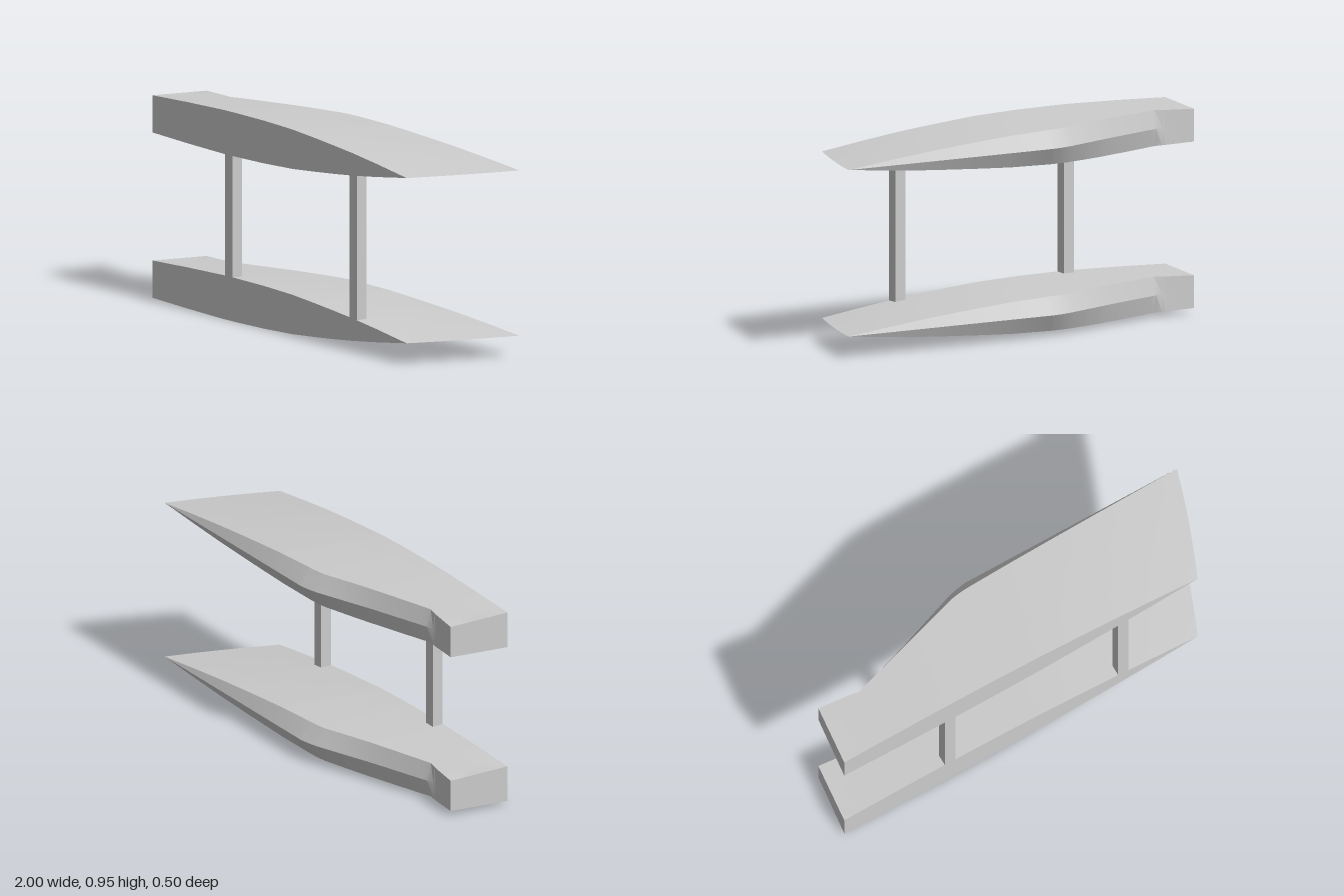
import * as THREE from 'three';
import { toCreasedNormals } from 'three/addons/utils/BufferGeometryUtils.js';

const FRONT = 0.25;

// Piecewise-linear lookup in rows of [t, value]
function lookup(rows, t) {
  let i = 0;
  while (i < rows.length - 2 && t > rows[i + 1][0]) i++;
  const [a, va] = rows[i], [b, vb] = rows[i + 1];
  return va + (vb - va) * (t - a) / (b - a);
}

// Half thickness along the front edge (by x)
const THICK = [[-1, 0.085], [-0.75, 0.094], [-0.5, 0.1], [-0.4, 0.1], [-0.2, 0.0975], [0, 0.09],
  [0.15, 0.078], [0.3, 0.0645], [0.43, 0.0515], [0.6, 0.0305], [0.82, 0]];
// Rear sharp edge and the bevel ridge in front of it: z by fraction of length
const EDGE = [[0, -0.035], [0.075, -0.02], [0.105, -0.03], [0.25, -0.125], [0.392, -0.23],
  [0.415, -0.242], [0.44, -0.25], [1, -0.25]];
const RIDGE = [[0, -0.035], [0.075, -0.02], [0.105, -0.01], [0.25, -0.098], [0.392, -0.188],
  [0.415, -0.196], [0.44, -0.2], [1, -0.25]];

// Point on the hull; side is +1 top, -1 bottom, 0 on the middle plane
function hullPoint(t, z, side) {
  const d = FRONT - z;
  const x0 = -1 + 0.105 * d;
  const x1 = 0.82 + 0.43 * d - 0.14 * d * d;
  const h = lookup(THICK, -1 + 1.82 * t) * (1 - 0.2 * d / 0.45);
  return [x0 + (x1 - x0) * t, side * h, z];
}

// Hull: cross-section rings lofted from the blunt end to the knife edge
function hullGeometry() {
  const stations = new Set([...EDGE, ...THICK.map(([x]) => [(x + 1) / 1.82])].map(r => +r[0].toFixed(4)));
  for (let i = 0; i <= 24; i++) stations.add(+(i / 24).toFixed(4));
  const ts = [...stations].sort((a, b) => a - b);
  const across = 6, pos = [], idx = [];
  for (const t of ts) {
    const ridge = lookup(RIDGE, t);
    const zs = Array.from({ length: across + 1 }, (_, i) => FRONT + (ridge - FRONT) * i / across);
    zs.forEach(z => pos.push(...hullPoint(t, z, 1)));
    pos.push(...hullPoint(t, lookup(EDGE, t), 0));
    zs.reverse().forEach(z => pos.push(...hullPoint(t, z, -1)));
  }
  const n = 2 * across + 3;
  for (let i = 0; i < ts.length - 1; i++) {
    for (let j = 0; j < n; j++) {
      const a = i * n + j, b = i * n + (j + 1) % n;
      idx.push(a, a + n, b, b, a + n, b + n);
    }
  }
  // blunt end cap
  for (let j = 1; j < n - 1; j++) idx.push(0, j, j + 1);
  const g = new THREE.BufferGeometry();
  g.setAttribute('position', new THREE.Float32BufferAttribute(pos, 3));
  g.setIndex(idx);
  return toCreasedNormals(g, 0.3);
}

export function createModel() {
  const group = new THREE.Group();
  const material = new THREE.MeshStandardMaterial({ color: 0xcccccc, side: THREE.DoubleSide });

  // Two identical blades, stacked
  const geometry = hullGeometry();
  [['lowerBlade', 0.102], ['upperBlade', 0.856]].forEach(([name, y]) => {
    const blade = new THREE.Mesh(geometry, material);
    blade.name = name;
    blade.position.y = y;
    group.add(blade);
  });

  // Square posts joining the blades along the front edge
  [['rightPost', -0.455, 0.2], ['leftPost', 0.438, 0.15]].forEach(([name, x, y0]) => {
    const post = new THREE.Mesh(new THREE.BoxGeometry(0.054, 0.958 - 2 * y0, 0.053), material);
    post.name = name;
    post.position.set(x, 0.479, FRONT - 0.0265);
    group.add(post);
  });
  return group;
}
